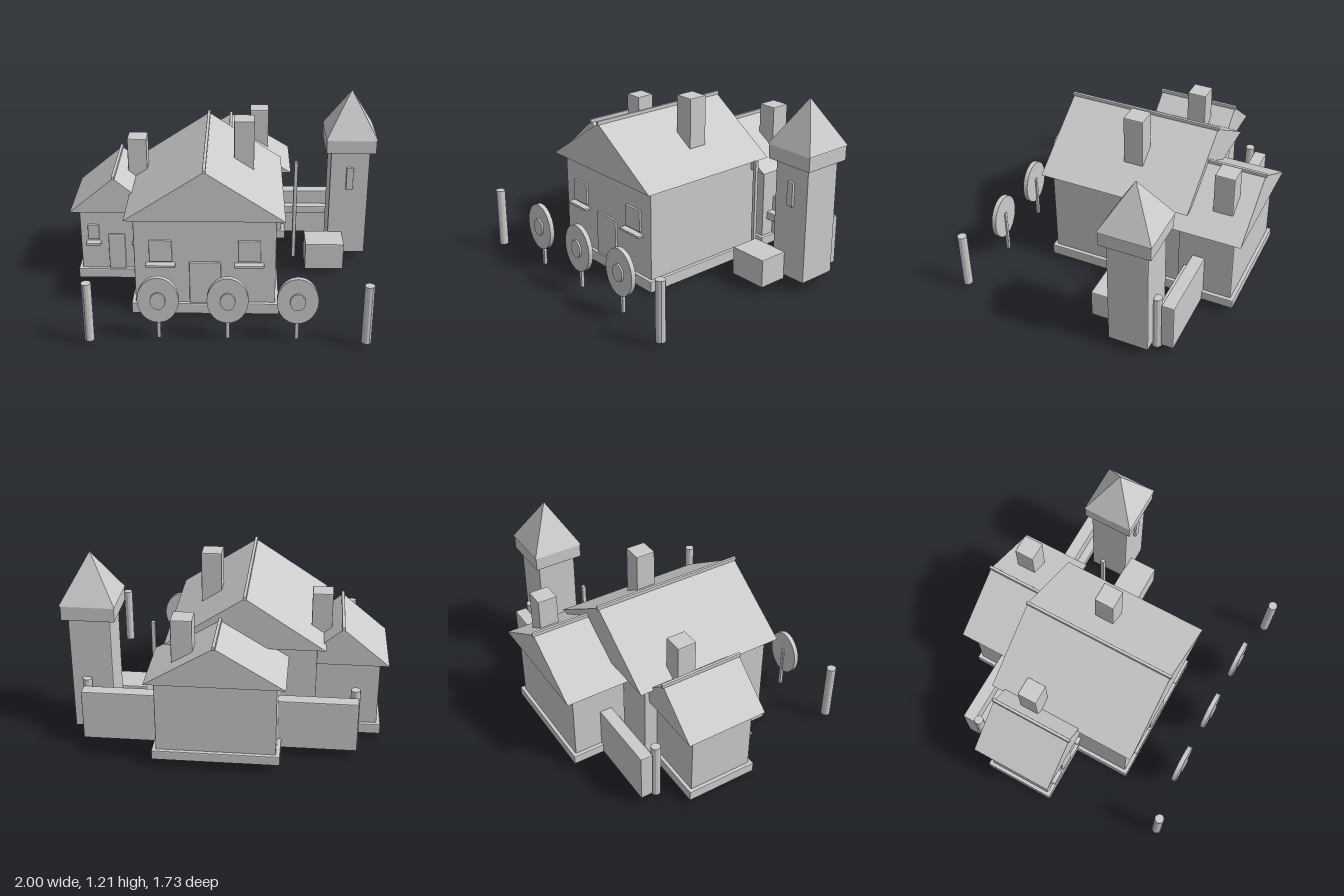
import * as THREE from 'three';
import { RoundedBoxGeometry } from 'three/addons/geometries/RoundedBoxGeometry.js';

const material = new THREE.MeshStandardMaterial({ color: 0xcccccc, flatShading: true });

function add(parent, name, geometry, x = 0, y = 0, z = 0) {
  const mesh = new THREE.Mesh(geometry, material);
  mesh.name = name;
  mesh.position.set(x, y, z);
  parent.add(mesh);
  return mesh;
}

// Softly bevelled box given by its limits on each axis
function block(parent, name, [x0, x1], [y0, y1], [z0, z1]) {
  const w = x1 - x0, h = y1 - y0, d = z1 - z0;
  const bevel = Math.min(0.006, Math.min(w, h, d) * 0.25);
  return add(parent, name, new RoundedBoxGeometry(w, h, d, 1, bevel),
    (x0 + x1) / 2, (y0 + y1) / 2, (z0 + z1) / 2);
}

// House with plinth, walls, gabled roof, ridge beam and chimney
function house(parent, name, o) {
  const g = new THREE.Group();
  g.name = name;
  parent.add(g);
  const span = (half) => [o.x - half, o.x + half];
  const [z0, z1] = o.z;
  block(g, 'plinth', span(o.half - 0.028), [o.base, o.floor], [z0 + 0.032, z1 - 0.032]);
  block(g, 'walls', span(o.half - 0.052), [o.floor - 0.01, o.eaves], [z0 + 0.055, z1 - 0.055]);
  const gable = new THREE.Shape([
    new THREE.Vector2(-o.half, 0), new THREE.Vector2(o.half, 0), new THREE.Vector2(0, o.apex - o.eaves),
  ]);
  add(g, 'roof', new THREE.ExtrudeGeometry(gable, { depth: z1 - z0, bevelEnabled: false }), o.x, o.eaves, z0);
  block(g, 'ridgeBeam', span(0.01), [o.apex - 0.01, o.apex + 0.016], [z0 - 0.009, z1 + 0.009]);
  block(g, 'chimney', ...o.chimney);
  return g;
}

// Pair of windows with sills, mirrored about the house centre line
function windows(parent, centre, offset, half, y0, y1, sillY, face) {
  for (const side of [-1, 1]) {
    const x = centre + side * offset;
    block(parent, 'window', [x - half, x + half], [y0, y1], [face - 0.01, face + 0.015]);
    block(parent, 'windowSill', [x - half * 1.3, x + half * 1.3], [sillY, sillY + 0.017], [face - 0.01, face + 0.045]);
  }
}

export function createModel() {
  const model = new THREE.Group();
  model.name = 'farmstead';

  // Main house
  const main = house(model, 'mainHouse', {
    x: -0.118, half: 0.492, z: [-0.482, 0.516], base: 0.005, floor: 0.08, eaves: 0.675, apex: 1.0,
    chimney: [[0.056, 0.185], [0.8, 1.13], [-0.105, 0.025]],
  });
  windows(main, -0.118, 0.275, 0.071, 0.375, 0.52, 0.347, 0.461);
  block(main, 'door', [-0.216, -0.02], [0.075, 0.37], [0.45, 0.475]);

  // Small side house
  const side = house(model, 'sideHouse', {
    x: -0.711, half: 0.289, z: [-0.395, 0.14], base: 0.042, floor: 0.11, eaves: 0.543, apex: 0.783,
    chimney: [[-0.643, -0.516], [0.62, 0.947], [-0.25, -0.123]],
  });
  windows(side, -0.711, 0.151, 0.037, 0.325, 0.43, 0.295, 0.085);
  block(side, 'door', [-0.766, -0.657], [0.105, 0.363], [0.075, 0.1]);

  // Rear house
  house(model, 'rearHouse', {
    x: 0.028, half: 0.415, z: [-0.853, -0.385], base: 0.068, floor: 0.13, eaves: 0.6, apex: 0.852,
    chimney: [[0.163, 0.29], [0.69, 0.966], [-0.744, -0.615]],
  });

  // Watch tower
  const tower = new THREE.Group();
  tower.name = 'tower';
  model.add(tower);
  block(tower, 'towerShaft', [0.698, 0.956], [0.073, 0.83], [-0.484, -0.222]);
  block(tower, 'towerCap', [0.662, 0.992], [0.825, 0.922], [-0.516, -0.186]);
  const spire = new THREE.ConeGeometry(0.169 * Math.SQRT2, 0.294, 4).rotateY(Math.PI / 4);
  add(tower, 'towerSpire', spire, 0.828, 1.069, -0.351);
  block(tower, 'towerWindow', [0.805, 0.853], [0.555, 0.715], [-0.235, -0.204]);

  // Rear wall with walkway
  block(model, 'rearWall', [-0.82, 0.876], [0.066, 0.392], [-0.614, -0.532]);
  block(model, 'wallWalk', [-0.8, 0.855], [0.24, 0.295], [-0.54, -0.479]);

  // Crate and tall pole in the yard
  block(model, 'crate', [0.536, 0.795], [0.045, 0.232], [-0.23, -0.03]);
  block(model, 'yardPole', [0.458, 0.484], [0.004, 0.73], [-0.29, -0.263]);

  // Corner posts
  for (const x of [-0.8, 0.857]) for (const z of [-0.5, 0.834]) {
    add(model, 'cornerPost', new THREE.CylinderGeometry(0.03, 0.03, 0.388, 12), x, 0.237, z);
  }

  // Oval targets on stakes
  for (const x of [-0.386, 0.028, 0.443]) {
    const target = new THREE.Group();
    target.name = 'target';
    target.position.set(x, 0, 0);
    model.add(target);
    const disc = (r, d) => new THREE.CylinderGeometry(r, r, d, 32).rotateX(Math.PI / 2).scale(1, 1.23, 1);
    add(target, 'targetFace', disc(0.124, 0.03), 0, 0.298, 0.79);
    add(target, 'targetBoss', disc(0.046, 0.02), 0, 0.298, 0.807);
    block(target, 'targetStake', [-0.012, 0.012], [0.024, 0.33], [0.765, 0.788]);
  }

  return model;
}
